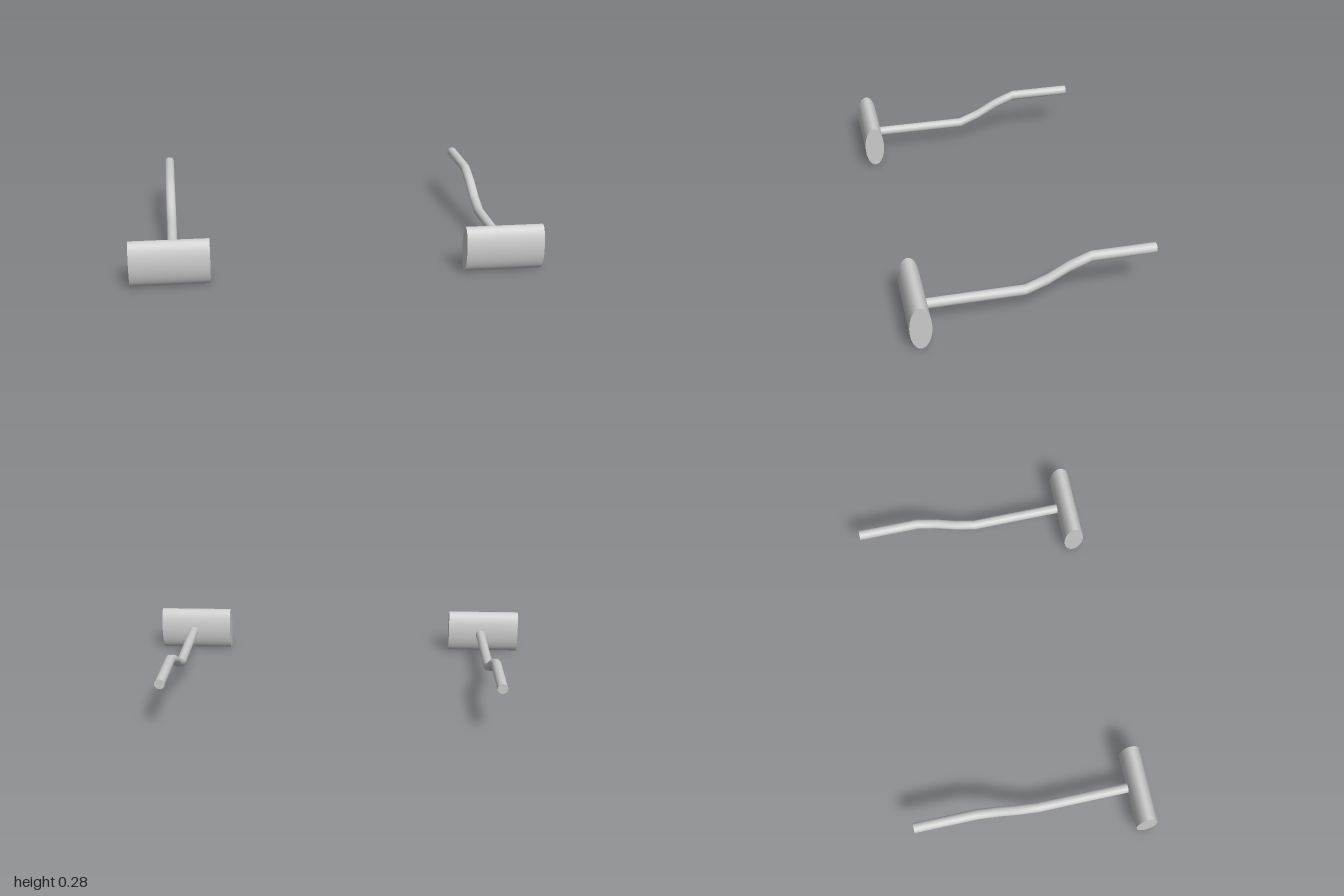
import * as THREE from 'three';

const material = new THREE.MeshStandardMaterial({ color: 0xcccccc });

// Pipe stations: distance behind the muffler and height of the centreline
const PATH = [[0, 0.11], [0.514, 0.11], [0.617, 0.151], [0.718, 0.209], [0.825, 0.251], [1.137, 0.251]];

// Oval drum lying across the pipe
function createMuffler() {
  const geometry = new THREE.CylinderGeometry(1, 1, 0.382, 48);
  geometry.rotateZ(Math.PI / 2);
  geometry.scale(1, 0.113, 0.0515);
  const muffler = new THREE.Mesh(geometry, material);
  muffler.name = 'muffler';
  muffler.position.y = 0.113;
  muffler.rotation.y = -0.066;
  return muffler;
}

// Capped round pipe whose rings are moved to the stations of the path
function createPipe() {
  const spans = PATH.length - 1;
  const geometry = new THREE.CylinderGeometry(0.025, 0.025, 1, 24, spans, false, Math.PI);
  geometry.rotateX(-Math.PI / 2);
  const p = geometry.attributes.position;
  for (let i = 0; i < p.count; i++) {
    const [back, height] = PATH[Math.round((0.5 - p.getZ(i)) * spans)];
    p.setY(i, p.getY(i) + height);
    p.setZ(i, -back);
  }
  geometry.computeVertexNormals();
  const pipe = new THREE.Mesh(geometry, material);
  pipe.name = 'exhaustPipe';
  pipe.position.x = 0.016;
  pipe.rotation.y = -0.0465;
  return pipe;
}

function createExhaust(name, x, z) {
  const exhaust = new THREE.Group();
  exhaust.name = name;
  exhaust.add(createMuffler(), createPipe());
  exhaust.position.set(x, 0, z);
  return exhaust;
}

export function createModel() {
  const model = new THREE.Group();
  model.name = 'exhaustPair';
  // The two exhausts are staggered front to back
  model.add(createExhaust('leftExhaust', 0.805, 0.582));
  model.add(createExhaust('rightExhaust', -0.805, 0.487));
  return model;
}
